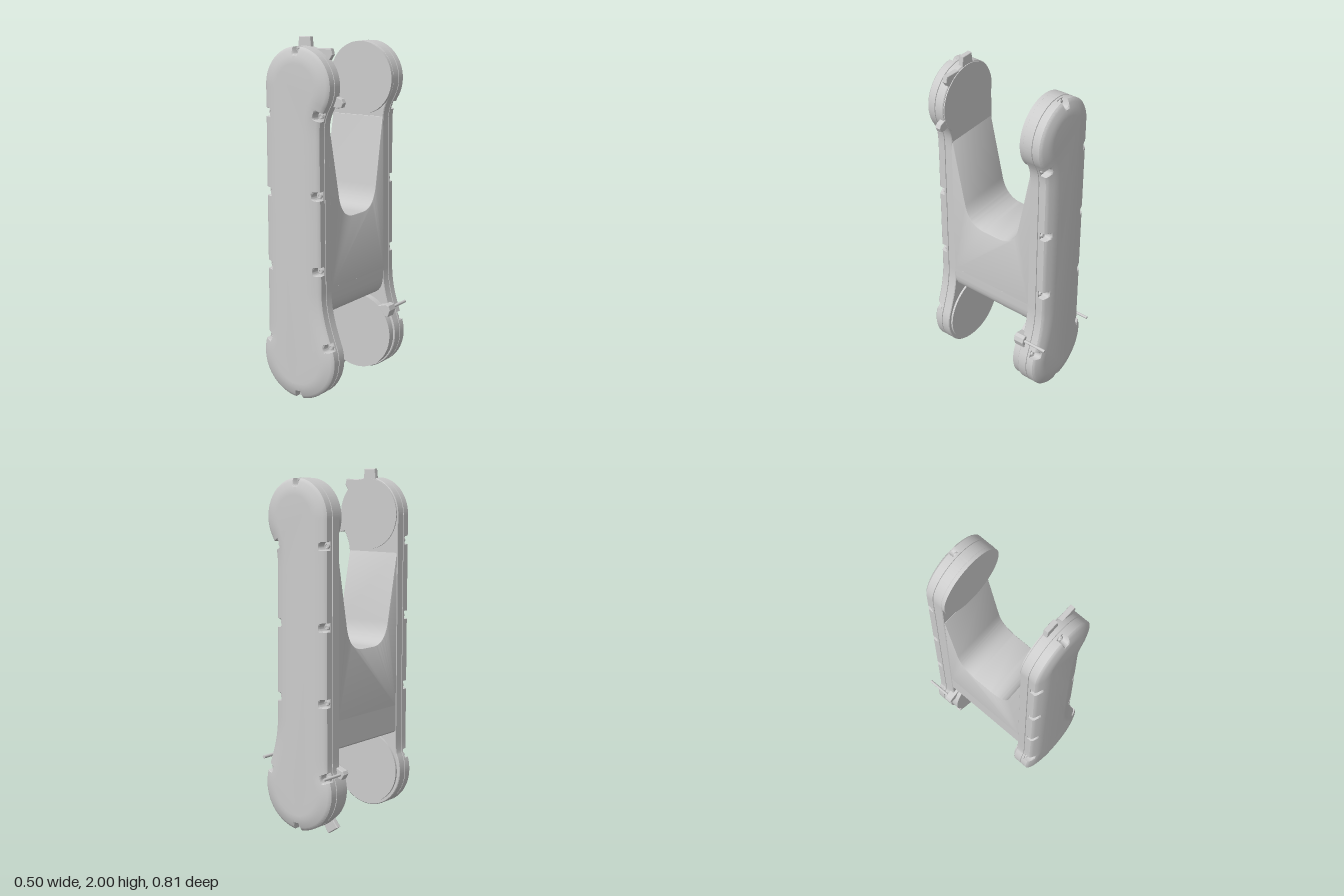
import * as THREE from 'three';
import { toCreasedNormals } from 'three/addons/utils/BufferGeometryUtils.js';

const V = (x, y) => new THREE.Vector2(x, y);
const UP = V(0.005, 1.745), LOW = V(0.005, 0.255); // joint centres
const rad = THREE.MathUtils.degToRad;
const SAMPLES = 900;

// Outline shared by both arms, counter-clockwise
function armOutline() {
  const s = new THREE.Shape();
  s.absarc(LOW.x, LOW.y, 0.235, rad(155), rad(380), false);
  s.bezierCurveTo(0.19, 0.434, 0.157, 0.52, 0.155, 0.64);
  s.lineTo(0.145, 1.48);
  s.bezierCurveTo(0.145, 1.56, 0.154, 1.588, 0.184, 1.6415);
  s.absarc(UP.x, UP.y, 0.207, rad(-30), rad(180), false);
  s.lineTo(-0.2, 0.46);
  s.bezierCurveTo(-0.2, 0.42, -0.2, 0.37, -0.208, 0.354);
  const pts = s.getSpacedPoints(SAMPLES);
  pts.pop();
  return pts;
}

const outline = armOutline();
const inward = outline.map((p, i) => {
  const n = outline.length;
  const t = outline[(i + 2) % n].clone().sub(outline[(i + n - 2) % n]).normalize();
  return V(-t.y, t.x);
});

// Screw positions snapped to the outline
const screwSpots = [
  [-0.2, 1.6], [0.15, 1.595], [-0.2, 1.17], [0.15, 1.17], [-0.2, 0.76], [0.155, 0.76],
  [-0.21, 0.35], [0.22, 0.35], [0.005, 1.952], [0.005, 0.02],
].map(([x, y]) => {
  const q = V(x, y);
  let best = 0;
  outline.forEach((p, i) => { if (p.distanceTo(q) < outline[best].distanceTo(q)) best = i; });
  return best;
});
const NOTCH_R = 0.024, NOTCH_IN = 0.018, NOTCH_FLOOR = 0.057;
const notchInset = outline.map((p) => {
  let d = 0;
  for (const k of screwSpots) {
    const s = p.distanceTo(outline[k]);
    if (s < NOTCH_R) d = Math.max(d, NOTCH_IN + Math.sqrt(NOTCH_R ** 2 - s ** 2));
  }
  return d;
});

// Arm shell lofted from inset outlines; side is +1 for front, -1 for back
function armGeometry(side, outer, thickness) {
  // [inset, depth below the outer face, notched]
  const levels = [
    [0.004, thickness, 0], [0, thickness - 0.004, 0], [0, 0.074, 0], [0.005, 0.073, 0],
    [0.005, 0.07, 0], [0, 0.069, 0], [0, NOTCH_FLOOR, 0], [0, NOTCH_FLOOR, 1],
    [0, 0.028, 1], [0.006, 0.021, 1], [0.018, 0.015, 1], [0.045, 0.006, 1],
    [0.065, 0.0015, 1], [0.085, 0, 1],
  ];
  const n = outline.length, pos = [], idx = [];
  const tri = (a, b, c) => (side > 0 ? idx.push(a, b, c) : idx.push(a, c, b));
  const rings = levels.map(([inset, depth, notched]) => outline.map((p, i) => {
    const q = p.clone().addScaledVector(inward[i], notched ? Math.max(inset, notchInset[i]) : inset);
    pos.push(q.x, q.y, side * (outer - depth));
    return q;
  }));
  for (let j = 0; j < levels.length - 1; j++) {
    for (let i = 0; i < n; i++) {
      const a = j * n + i, b = j * n + (i + 1) % n;
      tri(a, b, b + n);
      tri(a, b + n, a + n);
    }
  }
  const last = (levels.length - 1) * n;
  for (const [a, b, c] of THREE.ShapeUtils.triangulateShape(rings[0], [])) tri(a, c, b);
  for (const [a, b, c] of THREE.ShapeUtils.triangulateShape(rings[levels.length - 1], [])) tri(last + a, last + b, last + c);
  const g = new THREE.BufferGeometry();
  g.setAttribute('position', new THREE.Float32BufferAttribute(pos, 3));
  g.setIndex(idx);
  return toCreasedNormals(g, 0.6);
}

// Extrudes an xy shape between two z values
function slab(shape, z0, z1, bevel = 0) {
  const g = new THREE.ExtrudeGeometry(shape, {
    depth: z1 - z0 - 2 * bevel, bevelEnabled: bevel > 0, bevelSize: bevel, bevelThickness: bevel,
    bevelOffset: -bevel, bevelSegments: 2, curveSegments: 20,
  });
  return g.translate(0, 0, z0 + bevel);
}

export function createModel() {
  const model = new THREE.Group();
  const mat = new THREE.MeshStandardMaterial({ color: 0xcccccc });
  const add = (name, geo, parent = model) => {
    const m = new THREE.Mesh(geo, mat);
    m.name = name;
    parent.add(m);
    return m;
  };
  const rod = (name, c, r, z0, z1, parent, seg = 72) => {
    const g = new THREE.CylinderGeometry(r, r, z1 - z0, seg).rotateX(Math.PI / 2);
    return add(name, g.translate(c.x, c.y, (z0 + z1) / 2), parent);
  };

  // Two arms with recessed screws
  for (const [label, side, outer, thickness] of [['front', 1, 0.405, 0.125], ['back', -1, 0.37, 0.13]]) {
    const arm = new THREE.Group();
    arm.name = label + 'Arm';
    model.add(arm);
    add(label + 'ArmShell', armGeometry(side, outer, thickness), arm);
    for (const k of screwSpots) {
      const c = outline[k].clone().addScaledVector(inward[k], NOTCH_IN);
      const z = side * (outer - NOTCH_FLOOR);
      rod('screwHead', c, 0.015, z - 0.01, z + 0.01, arm, 20);
      add('screwRim', new THREE.TorusGeometry(0.01, 0.003, 6, 18).translate(c.x, c.y, z + side * 0.01), arm);
    }
  }

  // Round joint faces on the inner sides
  rod('frontUpperJointDisc', UP, 0.2, 0.274, 0.3, model);
  rod('frontLowerJointDisc', LOW, 0.215, 0.268, 0.3, model);
  rod('backUpperJointDisc', UP, 0.206, -0.26, -0.222, model);
  rod('backLowerJointDisc', LOW, 0.225, -0.26, -0.198, model);

  // Bridge with a U-shaped opening, drawn with u = -z and extruded along x
  const u = new THREE.Shape();
  u.moveTo(-0.29, 0.64);
  u.lineTo(0.25, 0.64);
  u.lineTo(0.25, 1.54);
  u.lineTo(0.238, 1.53);
  u.lineTo(0.167, 1.15);
  u.bezierCurveTo(0.15, 1.07, 0.11, 1.02, 0.03, 1.02);
  u.lineTo(-0.065, 1.02);
  u.bezierCurveTo(-0.14, 1.02, -0.185, 1.07, -0.2, 1.15);
  u.lineTo(-0.28, 1.53);
  u.lineTo(-0.29, 1.54);
  const bridge = slab(u, -0.197, 0.155, 0.006).rotateY(Math.PI / 2);
  const p = bridge.attributes.position;
  for (let i = 0; i < p.count; i++) {
    if (p.getX(i) > 0) p.setX(i, p.getX(i) - 0.0119 * (p.getY(i) - 0.64));
  }
  add('bridge', toCreasedNormals(bridge, 0.6));

  // Lower edge of the bridge, rounded on one side
  const foot = new THREE.Shape();
  foot.moveTo(-0.197, 0.65);
  foot.lineTo(-0.197, 0.5);
  foot.lineTo(-0.187, 0.49);
  foot.lineTo(0.07, 0.49);
  foot.bezierCurveTo(0.12, 0.49, 0.155, 0.53, 0.155, 0.6);
  foot.lineTo(0.155, 0.65);
  add('bridgeUnderside', toCreasedNormals(slab(foot, -0.25, 0.29), 0.6));

  // Small tabs around the joints: name, z range, corners
  const tabs = [
    ['topTab', 0.278, 0.306, [[-0.045, 1.92], [0.045, 1.92], [0.036, 2], [-0.036, 2]]],
    ['topSideTab', 0.278, 0.306, [[0.07, 1.88], [0.15, 1.87], [0.177, 1.91], [0.168, 1.943], [0.07, 1.94]]],
    ['upperSideTab', 0.276, 0.308, [[0.15, 1.65], [0.205, 1.635], [0.235, 1.64], [0.246, 1.665], [0.235, 1.685], [0.17, 1.71]]],
    ['lowerRightTab', -0.265, -0.222, [[-0.17, 0.33], [-0.235, 0.33], [-0.252, 0.36], [-0.243, 0.378], [-0.17, 0.405]]],
    ['lowerLeftTab', -0.265, -0.2, [[0.15, 0.37], [0.215, 0.37], [0.229, 0.41], [0.22, 0.437], [0.2, 0.445], [0.15, 0.43]]],
    ['bottomTab', -0.245, -0.215, [[-0.13, 0.12], [-0.19, 0.045], [-0.125, 0], [-0.07, 0.08]]],
  ];
  for (const [name, z0, z1, pts] of tabs) {
    add(name, slab(new THREE.Shape(pts.map(([x, y]) => V(x, y))), z0, z1, 0.004));
  }

  // Thin pins pointing backwards
  rod('rightPin', V(-0.226, 0.358), 0.008, -0.405, -0.25, model, 16);
  rod('leftPin', V(0.207, 0.415), 0.009, -0.405, -0.25, model, 16);
  return model;
}
